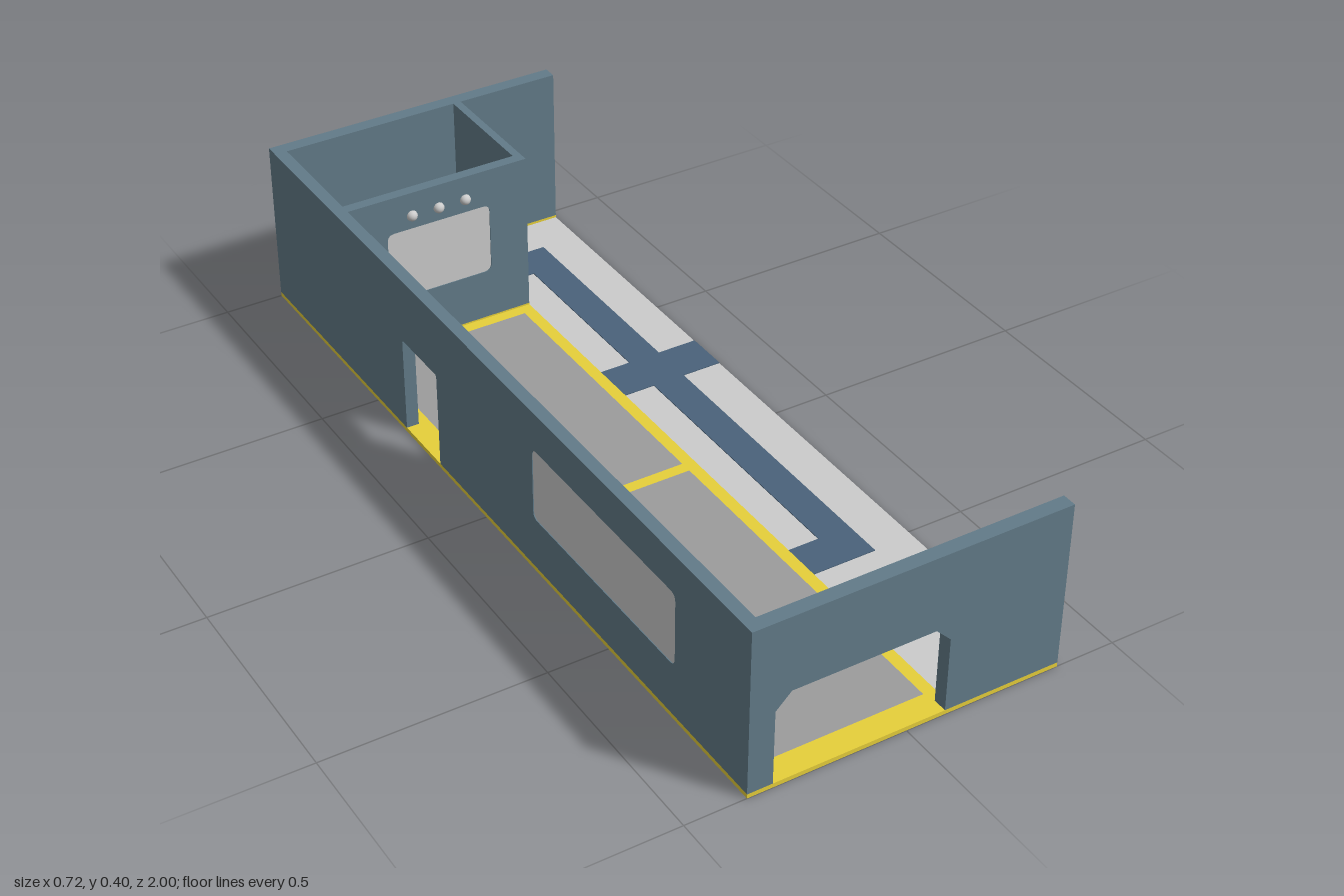
import * as THREE from 'three';

const mat = (color) => new THREE.MeshStandardMaterial({ color });
const WALL = mat(0x627b88), YELLOW = mat(0xe6cf3a), GREY = mat(0xcccccc);
const DARK = mat(0x9c9c9c), BLUE = mat(0x4a627a);

const H = 0.397, BASE = 0.01; // wall height, skirting height
const X0 = -0.362, X1 = 0.362, IN = 0.967; // outer sides, inner face of the end walls
const ROOM_X = 0.113, ROOM_Z = -0.658; // outer faces of the small room

export function createModel() {
  const root = new THREE.Group();

  const add = (name, geo, material, parent = root) => {
    const mesh = new THREE.Mesh(geo, material);
    mesh.name = name;
    parent.add(mesh);
    return mesh;
  };

  // box given by its limits on each axis
  const box = (name, material, x0, x1, y0, y1, z0, z1, parent) =>
    add(name, new THREE.BoxGeometry(x1 - x0, y1 - y0, z1 - z0), material, parent)
      .position.set((x0 + x1) / 2, (y0 + y1) / 2, (z0 + z1) / 2);

  // rectangle with rounded corners
  const roundRect = (u0, u1, v0, v1, r, path) => {
    path.moveTo(u0 + r, v0);
    path.lineTo(u1 - r, v0);
    path.quadraticCurveTo(u1, v0, u1, v0 + r);
    path.lineTo(u1, v1 - r);
    path.quadraticCurveTo(u1, v1, u1 - r, v1);
    path.lineTo(u0 + r, v1);
    path.quadraticCurveTo(u0, v1, u0, v1 - r);
    path.lineTo(u0, v0 + r);
    path.quadraticCurveTo(u0, v0, u0 + r, v0);
    return path;
  };

  // wall from u0 to u1 with an optional doorway (outline points) and window;
  // it runs along x, or along z when alongZ is set; p0..p1 is its thickness
  const wall = (name, alongZ, u0, u1, p0, p1, { door = [], win } = {}) => {
    const group = new THREE.Group();
    group.name = name;
    root.add(group);
    const place = (geo, inset) => {
      if (alongZ) geo.rotateY(-Math.PI / 2).translate(p1 - inset, 0, 0);
      else geo.translate(0, 0, p0 + inset);
      return geo;
    };
    const slab = (shape, inset) => place(new THREE.ExtrudeGeometry(shape, {
      depth: p1 - p0 - 2 * inset, bevelEnabled: false, curveSegments: 6,
    }), inset);

    const shape = new THREE.Shape();
    shape.moveTo(u0, BASE);
    door.forEach(([u, v]) => shape.lineTo(u, v));
    shape.lineTo(u1, BASE);
    shape.lineTo(u1, H);
    shape.lineTo(u0, H);
    shape.closePath();
    if (win) shape.holes.push(roundRect(...win, 0.018, new THREE.Path()));
    add(name + 'Panel', slab(shape, 0), WALL, group);
    if (win) add('windowPane', slab(roundRect(...win, 0.018, new THREE.Shape()), 0.002), GREY, group);

    // yellow strip under the wall, running on as a door sill
    if (alongZ) box('skirting', YELLOW, p0, p1, 0, BASE, u0, u1, group);
    else box('skirting', YELLOW, u0, u1, 0, BASE, p0, p1, group);
  };

  // doorway outline with cut corners, eased by a middle point when round
  const doorway = (u0, u1, top, c, round = false) => {
    const k = c * 0.29;
    return [
      [u0, BASE], [u0, top - c], ...(round ? [[u0 + k, top - k]] : []), [u0 + c, top],
      [u1 - c, top], ...(round ? [[u1 - k, top - k]] : []), [u1, top - c], [u1, BASE],
    ];
  };

  // walls
  wall('frontWall', false, X0, X1, IN, 1, { door: doorway(-0.305, 0.09, 0.221, 0.035) });
  wall('backWall', false, X0, X1, -1, -IN);
  wall('longSideWall', true, -IN, IN, X0, -0.333, {
    door: doorway(-0.36, -0.205, 0.24, 0.004), win: [0.205, 0.745, 0.133, 0.306],
  });
  wall('roomFrontWall', false, -0.333, ROOM_X, -0.684, ROOM_Z, { win: [-0.241, 0.017, 0.132, 0.306] });
  wall('roomSideWall', true, -IN, -0.684, 0.094, ROOM_X, {
    door: doorway(-0.885, -0.74, 0.27, 0.035, true),
  });

  // thin floor; the marked areas pass right through it
  const floor = new THREE.Group();
  floor.name = 'floor';
  root.add(floor);
  box('floorSlab', GREY, -0.333, X1, 0.002, 0.004, -IN, IN, floor);

  // marked bays: two dark panels in a yellow frame
  const zs = [[-0.63, 0.06], [0.088, 0.937]];
  const frame = new THREE.Shape();
  const rect = (path, x0, x1, z0, z1) => path.setFromPoints(
    [[x0, -z0], [x1, -z0], [x1, -z1], [x0, -z1]].map(([x, y]) => new THREE.Vector2(x, y)));
  rect(frame, -0.333, ROOM_X, ROOM_Z, IN);
  zs.forEach(([z0, z1]) => {
    frame.holes.push(rect(new THREE.Path(), -0.305, 0.085, z0, z1));
    box('bayPanel', DARK, -0.305, 0.085, 0, 0.006, z0, z1, floor);
  });
  const flat = (shape) => new THREE.ExtrudeGeometry(shape, { depth: 0.006, bevelEnabled: false })
    .rotateX(-Math.PI / 2);
  add('bayFrame', flat(frame), YELLOW, floor);

  // blue walkway with three branches
  const path = new THREE.Shape([
    [ROOM_X, -0.86], [0.266, -0.86], [0.266, -0.33], [X1, -0.33], [X1, -0.225], [0.266, -0.225],
    [0.266, 0.52], [ROOM_X, 0.52], [ROOM_X, 0.428], [0.188, 0.428], [0.188, -0.225],
    [ROOM_X, -0.225], [ROOM_X, -0.33], [0.188, -0.33], [0.188, -0.77], [ROOM_X, -0.77],
  ].map(([x, z]) => new THREE.Vector2(x, -z)));
  add('walkway', flat(path), BLUE, floor);

  // round lamps above the windows
  const lamp = new THREE.SphereGeometry(0.013, 16, 12);
  for (let i = 0; i < 8; i++) add('sideLamp', lamp, GREY).position.set(-0.333, 0.339, 0.24 + i * 0.0673);
  for (let i = 0; i < 3; i++) add('roomLamp', lamp, GREY).position.set(-0.178 + i * 0.067, 0.339, ROOM_Z);

  // light bar over the room door and switch plate beside the front door
  box('doorLight', GREY, 0.11, 0.12, 0.289, 0.305, -0.845, -0.775);
  box('switchPlate', GREY, 0.113, 0.128, 0.03, 0.18, 0.958, 0.968);

  return root;
}
